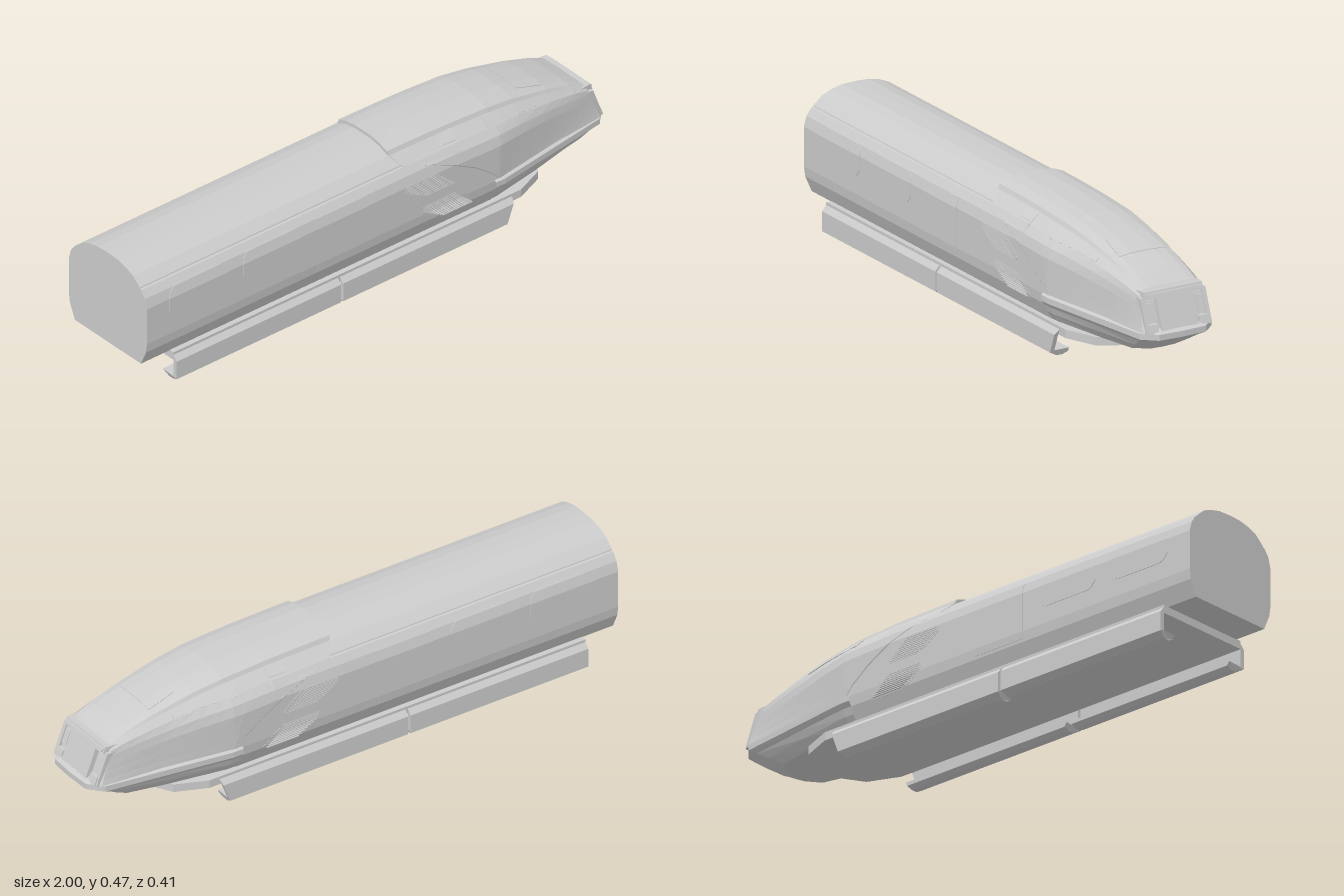
import * as THREE from 'three';

const mat = new THREE.MeshStandardMaterial({ color: 0xcccccc, flatShading: true, side: THREE.DoubleSide });
const lerp = THREE.MathUtils.lerp;

function add(parent, name, geo) {
  const m = new THREE.Mesh(geo, mat);
  m.name = name;
  parent.add(m);
  return m;
}

// Surface through rows of [x, y, z] points
function loft(rows) {
  const n = rows[0].length, idx = [];
  for (let i = 0; i < rows.length - 1; i++)
    for (let j = 0; j < n - 1; j++) {
      const a = i * n + j, b = a + n;
      idx.push(a, b, b + 1, a, b + 1, a + 1);
    }
  const g = new THREE.BufferGeometry();
  g.setAttribute('position', new THREE.Float32BufferAttribute(rows.flat(2), 3));
  g.setIndex(idx);
  g.computeVertexNormals();
  return g;
}

// Move vertices by a rule
function warp(geo, rule) {
  const p = geo.attributes.position, v = new THREE.Vector3();
  for (let i = 0; i < p.count; i++) {
    v.fromBufferAttribute(p, i);
    rule(v);
    p.setXYZ(i, v.x, v.y, v.z);
  }
  geo.computeVertexNormals();
  return geo;
}

// Extrude a (z, y) section along x
function extrudeX(pts, x0, x1) {
  const s = new THREE.Shape(pts.map(([z, y]) => new THREE.Vector2(-z, y)));
  return new THREE.ExtrudeGeometry(s, { depth: x1 - x0, bevelEnabled: false }).rotateY(Math.PI / 2).translate(x0, 0, 0);
}

const mirrorRow = (half) => [...half].reverse().concat(half.slice(1).map(([x, y, z]) => [x, y, -z]));

// Piecewise linear lookup
function lookup(table, x) {
  if (x <= table[0][0]) return table[0][1];
  for (let i = 1; i < table.length; i++) {
    const [x0, y0] = table[i - 1], [x1, y1] = table[i];
    if (x <= x1) return lerp(y0, y1, (x - x0) / (x1 - x0));
  }
  return table[table.length - 1][1];
}

// Half sections (z, y) of the body and of both ends of the nose shell
const BODY = [[0, .455], [.05, .453], [.09, .444], [.125, .43], [.158, .402], [.16, .397], [.167, .395],
  [.185, .37], [.195, .335], [.195, .2], [.19, .165], [.165, .11]];
const SHELL = [[0, .467], [.04, .467], [.085, .46], [.12, .447], [.127, .432], [.165, .397], [.187, .37],
  [.197, .335], [.197, .29], [.197, .24], [.197, .2]];
const TIP = [[0, .335], [.04, .335], [.08, .334], [.1, .331], [.106, .326], [.118, .315], [.12, .295],
  [.121, .27], [.123, .245], [.126, .22], [.13, .2]];
const SEAM = [.07, .07, .07, .07, .075, .1, .21, .3, .385, .45, .485];
const DROP = [[.1, 0], [.3, .03], [.49, .12], [.6, .25], [.75, .53], [.85, .79], [.91, 1]];
const FACE_X = .91, SLOPE = .38;

// Point on the nose shell at x and (fractional) section index j
function surf(x, j, lift = 0) {
  const i = Math.min(Math.floor(j), SHELL.length - 2), f = j - i;
  const a = lookup([[.48, 0], [.92, 1]], x), b = lookup(DROP, x);
  const at = (k) => [lerp(SHELL[k][0], TIP[k][0], a), lerp(SHELL[k][1], TIP[k][1], b)];
  const p = at(i), q = at(i + 1);
  const z = lerp(p[0], q[0], f), y = lerp(p[1], q[1], f);
  const len = Math.hypot(q[0] - p[0], q[1] - p[1]);
  const shear = SLOPE * lookup([[.76, 0], [FACE_X, 1]], x) * (at(0)[1] - y);
  return [x + shear, y + lift * (q[0] - p[0]) / len, z + lift * (p[1] - q[1]) / len];
}

function bodySideZ(y) {
  return lookup([[.11, .165], [.165, .19], [.2, .195], [.335, .195], [.37, .185], [.395, .167]], y);
}

// Thin raised panel following the body side; rows are [y, x0, x1]
function sidePanel(rows, lift, s) {
  const out = rows.map(([y, x0, x1]) => {
    const z = bodySideZ(y);
    return [[x0, y, s * (z - .003)], [x0, y, s * (z + lift)], [x1, y, s * (z + lift)], [x1, y, s * (z - .003)]];
  });
  const cap = (row) => row.map(([x, y, z]) => [x, y, z - s * (lift + .002)]);
  const all = [cap(out[0]), ...out, cap(out[out.length - 1])];
  return loft(s > 0 ? all.reverse() : all);
}

// Thin panel on the nose; rows are [x, j0, j1]
function nosePanel(rows, lift, s) {
  const all = rows.map(([x, j0, j1]) => [[j0, -.002], [j0, lift], [(j0 + j1) / 2, lift], [j1, lift], [j1, -.002]]
    .map(([j, l]) => { const p = surf(x, j, l); return [p[0], p[1], s * p[2]]; }));
  const sink = (row) => row.map(([x, y, z]) => [x, y - lift - .002, z]);
  const full = [sink(all[0]), ...all, sink(all[all.length - 1])];
  return loft(s > 0 ? full.reverse() : full);
}

export function createModel() {
  const g = new THREE.Group();
  g.name = 'train';

  // Passenger body, its front end tucked under the nose shell
  const ring = BODY.concat(BODY.slice(1).reverse().map(([z, y]) => [-z, y]));
  add(g, 'body', warp(extrudeX(ring, -1, 0), (v) => {
    if (v.x > -.5) v.x = v.y > .34 ? .33 : v.y > .25 ? .35 : v.y > .18 ? .5 : .47;
  }));

  // Nose shell with a curved rear seam
  const js = SHELL.map((_, j) => j), rows = [];
  rows.push(mirrorRow(js.map((j) => { const [x, y, z] = surf(SEAM[j], j); return [x, y - .012, z * .97]; })));
  for (let k = 0; k <= 5; k++) rows.push(mirrorRow(js.map((j) => surf(lerp(SEAM[j], .49, k / 5), j))));
  for (const x of [.55, .6, .68, .75, .8, .85, .885, FACE_X]) rows.push(mirrorRow(js.map((j) => surf(x, j))));
  const end = js.map((j) => surf(FACE_X, j));
  rows.push(mirrorRow(end.map(([x, y, z]) => [x + .006, y - .006 * (y > .3), z * .95])));
  rows.push(mirrorRow(end.map(([x, y]) => [x + .006, y - .006 * (y > .3), 0])));
  add(g, 'noseShell', loft(rows));

  // Sloping blocks on the nose face
  const faceBlock = (name, z, halfW, y0, y1, depth) => {
    const geo = new THREE.BoxGeometry(.04 + depth, y1 - y0, halfW * 2);
    geo.translate((depth - .04) / 2, (y0 + y1) / 2, z);
    add(g, name, warp(geo, (v) => {
      if (v.x > 0) v.z = z + (v.z - z) * .94;
      v.x += FACE_X + SLOPE * (.335 - v.y);
    }));
  };
  faceBlock('brow', 0, .117, .305, .329, .022);
  faceBlock('browLip', 0, .11, .312, .322, .028);
  faceBlock('nosePanel', 0, .073, .2, .312, .024);
  for (const s of [1, -1]) {
    faceBlock('upperHeadlamp', s * .097, .014, .24, .29, .011);
    faceBlock('lampSurround', s * .115, .008, .2, .31, .016);
    faceBlock('lowerHeadlamp', s * .097, .02, .2, .228, .02);
  }

  // Bumper lip and tapering belly, layered downwards: [y, inset, shortening]
  const plan = [[.992, 0], [.988, .08], [.945, .128], [.72, .163], [.5, .196], [.46, .196]];
  const layers = [[.212, .014, .015], [.2, -.008, 0], [.18, -.008, 0], [.165, .004, .03], [.14, .014, .09], [.11, .034, .15]]
    .map(([y, d, f]) => mirrorRow(plan.map(([x, z]) =>
      [.46 + (x - .46) * (1 - f) - (x > .9 ? d : 0), y, z ? z - d : 0])));
  const flat = (row) => row.map(([x, y]) => [x, y, 0]);
  add(g, 'bumperAndBelly', loft([flat(layers[0]), ...layers, flat(layers[5])]));

  // Underfloor plate with a faceted front
  const outline = [[-.88, .185], [.58, .185], [.69, .14], [.74, .055]];
  const plate = new THREE.Shape(outline.concat([...outline].reverse().map(([x, z]) => [x, -z]))
    .map(([x, z]) => new THREE.Vector2(x, z)));
  add(g, 'underfloorPlate', new THREE.ExtrudeGeometry(plate, { depth: .029, bevelEnabled: false })
    .rotateX(-Math.PI / 2).translate(0, .083, 0));

  for (const s of [1, -1]) {
    // C-shaped guideway skirts
    const hook = [[.17, .108], [.18, .108], [.201, .084], [.201, .016], [.172, 0], [.15, 0], [.131, .009], [.131, .022],
      [.186, .022], [.186, .083], [.17, .083]].map(([z, y]) => [s * z, y]);
    add(g, 'rearSkirt', warp(extrudeX(hook, -.88, -.19), (v) => {
      if (v.y < .01) v.x += v.x < -.5 ? .01 : -.01;
    }));
    add(g, 'frontSkirt', warp(extrudeX(hook, -.18, .545), (v) => {
      if (v.x > 0) v.x -= (.108 - v.y) * .38;
      else if (v.y < .01) v.x += .01;
    }));

    // Passenger windows and door
    for (const x of [-.905, -.595])
      add(g, 'sideWindow', sidePanel([[.258, x + .035, x + .21], [.264, x + .02, x + .225], [.285, x, x + .245],
        [.335, x, x + .245], [.352, x + .004, x + .241], [.37, x + .022, x + .223], [.374, x + .035, x + .21]], .002, s));
    add(g, 'door', sidePanel([[.175, -.28, -.07], [.2, -.28, -.07], [.335, -.28, -.07], [.37, -.28, -.07]], .0015, s));

    // Slanted vents with raised slats
    for (const [x, y] of [[.08, .335], [.155, .23]]) {
      add(g, 'ventPanel', sidePanel([[y - .072, x + .1, x + .212], [y - .06, x + .06, x + .222],
        [y - .022, x + .002, x + .18], [y, x + .008, x + .142]], .0012, s));
      for (let k = 0; k < 10; k++) {
        const d = .006 + k * .0066, yk = y - d;
        const x0 = x + (d < .022 ? .01 : lerp(.01, .098, (d - .022) / .05));
        const slat = add(g, 'ventSlat', new THREE.BoxGeometry(x + .135 + d * 1.15 - x0, .0032, .005));
        slat.position.set((x + .135 + d * 1.15 + x0) / 2, yk, s * .1955);
      }
    }

    // Cab glazing
    add(g, 'cabSideWindow', nosePanel([[.46, 4.15, 5.15], [.53, 4.1, 5.05], [.6, 4.2, 4.95], [.69, 4.45, 4.85]], .002, s));
    add(g, 'windscreen', nosePanel([[.65, 0, 1.85], [.7, 0, 2], [.75, 0, 2.15]], .002, s));
  }
  return g;
}
